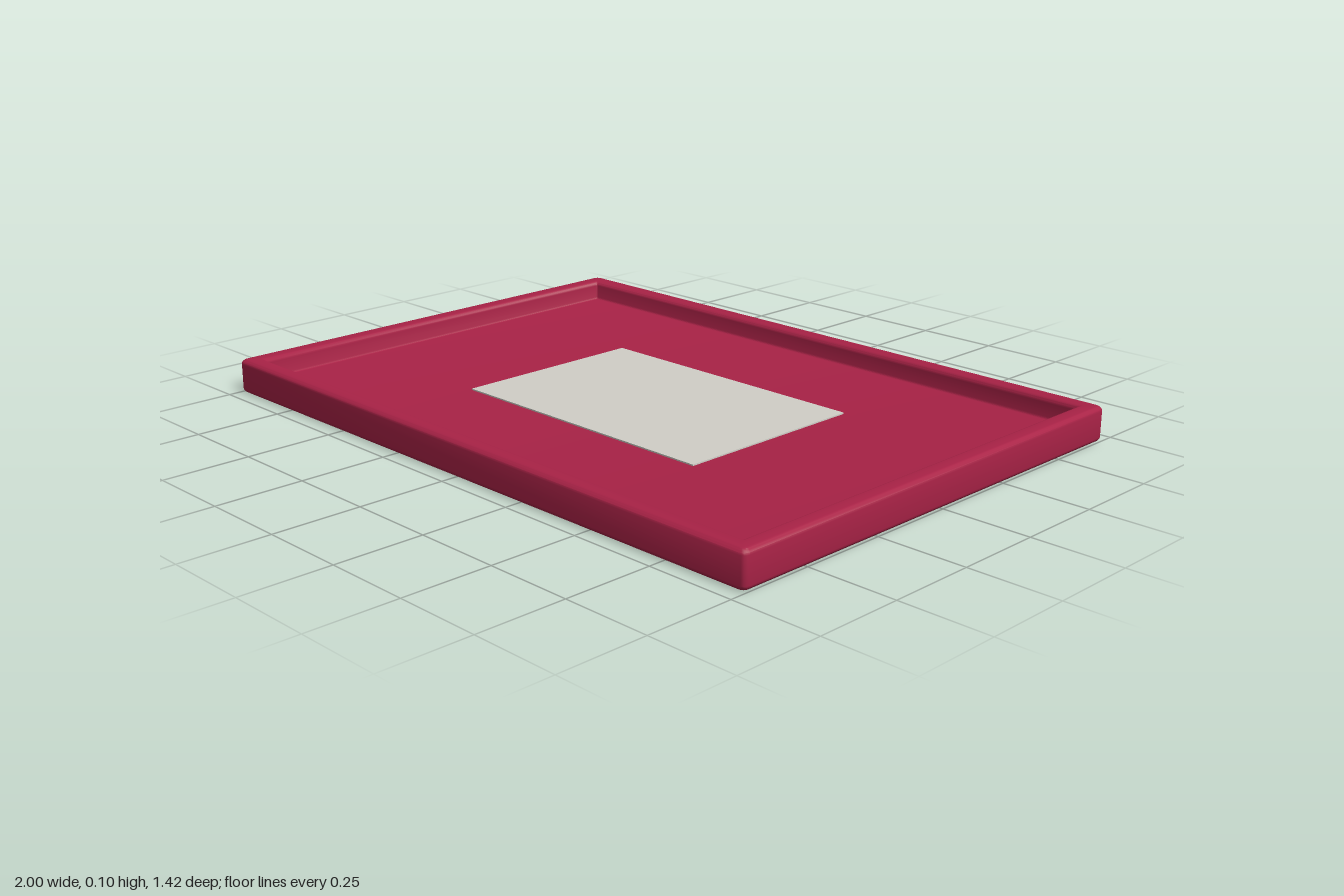
import * as THREE from 'three';
import { toCreasedNormals } from 'three/addons/utils/BufferGeometryUtils.js';

const HALF_X = 1, HALF_Z = 0.71, HEIGHT = 0.1, FLOOR = 0.04, RIM = 0.055;
const ROUND = 0.014, CORNER_STEPS = 4;

// Points of a rounded rectangle, inset from the outer edge at height y.
function ring(inset, y) {
  const r = Math.max(0.018 - inset * 0.5, 0.006);
  const cx = HALF_X - inset - r, cz = HALF_Z - inset - r;
  const signs = [[1, 1], [-1, 1], [-1, -1], [1, -1]];
  return signs.flatMap(([sx, sz], q) =>
    Array.from({ length: CORNER_STEPS + 1 }, (_, i) => {
      const a = (q + i / CORNER_STEPS) * Math.PI / 2;
      return [sx * cx + r * Math.cos(a), y, sz * cz + r * Math.sin(a)];
    }));
}

// Quarter arc of [inset, y] profile points around a centre.
function arc(cx, cy, r, from, to, steps = 4) {
  return Array.from({ length: steps + 1 }, (_, i) => {
    const a = THREE.MathUtils.degToRad(from + (to - from) * i / steps);
    return [cx + r * Math.cos(a), cy + r * Math.sin(a)];
  });
}

// Loft the profile from the underside, over the rim, down to the floor.
function trayGeometry() {
  const profile = [
    ...arc(ROUND, ROUND, ROUND, 270, 180),
    ...arc(ROUND, HEIGHT - ROUND, ROUND, 180, 90),
    ...arc(RIM - ROUND, HEIGHT - ROUND, ROUND, 90, 0),
    ...arc(RIM + 0.006, FLOOR + 0.006, 0.006, 180, 270),
  ];
  const rings = profile.map(([inset, y]) => ring(inset, y));
  const n = rings[0].length;
  rings.unshift(Array(n).fill([0, 0, 0]));
  rings.push(Array(n).fill([0, FLOOR, 0]));

  const positions = [];
  for (let i = 0; i < rings.length - 1; i++) {
    for (let j = 0; j < n; j++) {
      const k = (j + 1) % n;
      const a = rings[i][j], b = rings[i + 1][j], c = rings[i + 1][k], d = rings[i][k];
      if (i < rings.length - 2) positions.push(...a, ...b, ...c);
      else positions.push(...a, ...b, ...d);
      if (i > 0 && i < rings.length - 2) positions.push(...a, ...c, ...d);
    }
  }
  const geometry = new THREE.BufferGeometry();
  geometry.setAttribute('position', new THREE.Float32BufferAttribute(positions, 3));
  return toCreasedNormals(geometry, Math.PI / 5);
}

export function createModel() {
  const crimson = new THREE.MeshStandardMaterial({ color: 0xa82246 });
  crimson.name = 'crimson';
  const paleGrey = new THREE.MeshStandardMaterial({ color: 0xd0cec7 });
  paleGrey.name = 'pale grey';

  const group = new THREE.Group();
  group.name = 'servingTray';

  const tray = new THREE.Mesh(trayGeometry(), crimson);
  tray.name = 'tray';

  // Thin pale panel in the middle of the floor
  const panel = new THREE.Mesh(new THREE.BoxGeometry(0.884, 0.004, 0.592), paleGrey);
  panel.name = 'centrePanel';
  panel.position.y = FLOOR + 0.002;

  group.add(tray, panel);
  return group;
}
